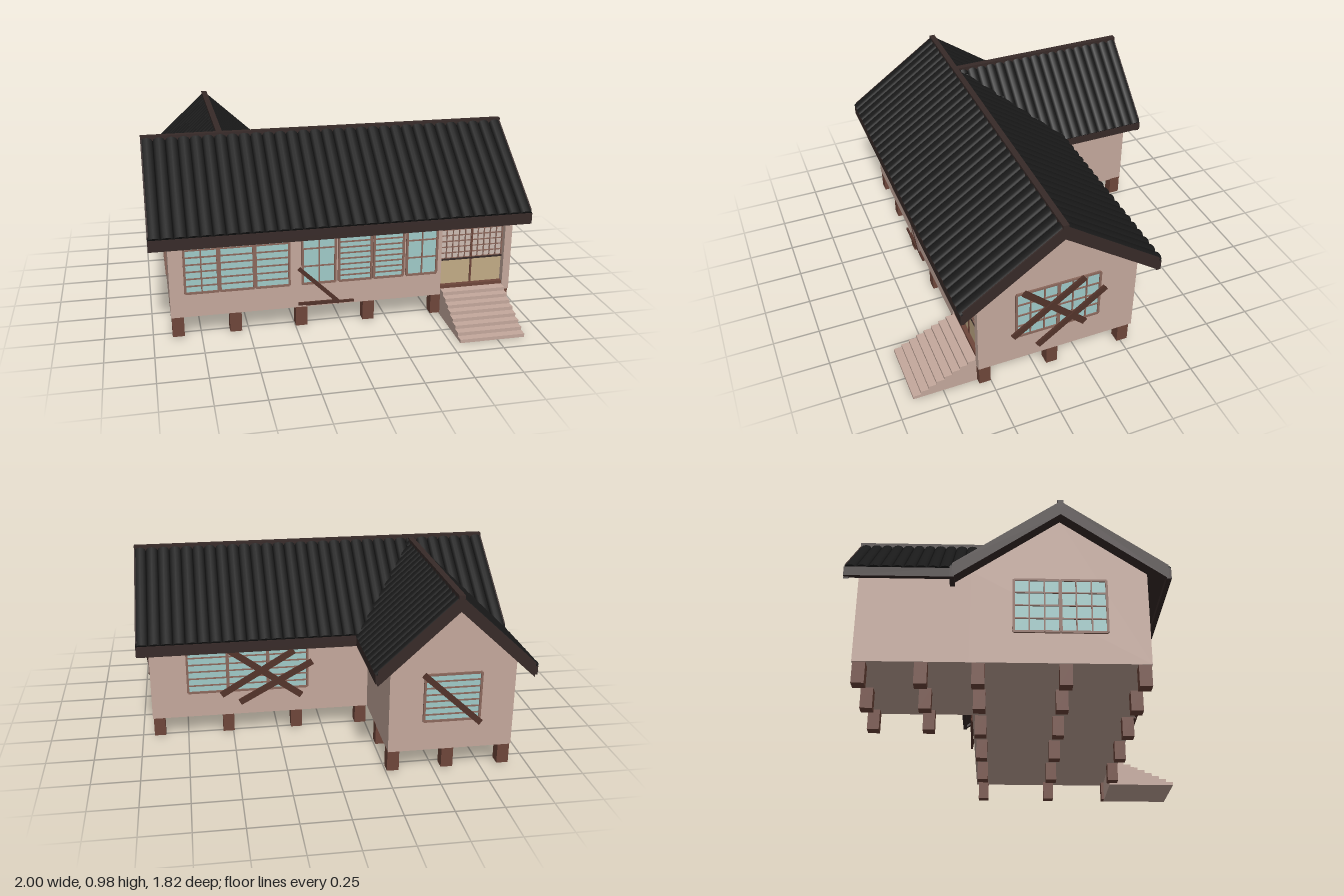
import * as THREE from 'three';

const mat = (color, side = THREE.FrontSide) => new THREE.MeshStandardMaterial({ color, side });
const WALL = mat(0xc4a89c), TILE = mat(0x191919, THREE.DoubleSide), TRIM = mat(0x372a28);
const WOOD = mat(0x6e463a), PLANK = mat(0x53332a), FRAME = mat(0x8b685c);
const GLASS = mat(0x9fcac8), DOOR = mat(0xc2ab86), PAPER = mat(0xcdbcb3);

function add(parent, name, geometry, material) {
  const mesh = new THREE.Mesh(geometry, material);
  mesh.name = name;
  parent.add(mesh);
  return mesh;
}

// Box given by its limits on each axis
function box(parent, name, material, x0, x1, y0, y1, z0, z1) {
  const m = add(parent, name, new THREE.BoxGeometry(x1 - x0, y1 - y0, z1 - z0), material);
  m.position.set((x0 + x1) / 2, (y0 + y1) / 2, (z0 + z1) / 2);
  return m;
}

// Outline in x and y, extruded from z0 to z1
function prism(parent, name, material, points, z0, z1) {
  const shape = new THREE.Shape(points.map(([x, y]) => new THREE.Vector2(x, y)));
  const m = add(parent, name, new THREE.ExtrudeGeometry(shape, { depth: z1 - z0, bevelEnabled: false }), material);
  m.position.z = z0;
  return m;
}

const ribGeometry = new THREE.CylinderGeometry(1, 1, 1, 12);

// Gabled roof with its ridge along local z; "reach" gives the half width at each z
function roof(parent, o) {
  const { cx, apex, slope, left, right, z0, z1, zEnd, fasciaHeight } = o;
  const yAt = d => apex - slope * d;
  const band = (name, material, top, bottom, a, b) => prism(parent, name, material, [
    [cx - left, yAt(left) + bottom], [cx, apex + bottom], [cx + right, yAt(right) + bottom],
    [cx + right, yAt(right) + top], [cx, apex + top], [cx - left, yAt(left) + top]], a, b);
  band('roofSheet', TILE, 0, -0.012, z0 + 0.01, z1 - 0.01);
  band('roofUnderside', TRIM, -0.012, -0.05, z0 + 0.01, z1 - 0.01);
  band('rakeBoard', TRIM, 0.012, -0.066, z0, z0 + 0.025);
  if (o.bothRakes) band('rakeBoard', TRIM, 0.012, -0.066, z1 - 0.025, z1);
  for (const [s, half] of [[-1, left], [1, right]]) {
    const x = cx + s * half, y = yAt(half);
    box(parent, 'eaveFascia', TRIM, x - 0.012, x + 0.012, y - 0.005 - fasciaHeight, y - 0.005, z0, z1);
  }
  box(parent, 'ridgeCap', TRIM, cx - 0.016, cx + 0.016, apex - 0.02, apex + 0.018, z0, zEnd);

  // Rounded tile rows running down both slopes
  const pitch = (zEnd - z0) / o.rows, angle = Math.atan(slope);
  for (let i = 0; i < o.rows; i++) {
    const z = z0 + (i + 0.5) * pitch;
    for (const [s, half] of [[-1, left], [1, right]]) {
      const reach = Math.min(half + 0.008, o.reach ? o.reach(z) : Infinity);
      const rib = add(parent, 'tileRow', ribGeometry, TILE);
      rib.scale.set(pitch * 0.26, reach / Math.cos(angle), pitch * 0.5);
      rib.rotation.z = -s * (Math.PI / 2 + angle);
      rib.position.set(cx + s * reach / 2, yAt(reach / 2), z);
    }
  }
}

// Glazed panel with a frame and a lattice of bars, facing local +z
function panel(parent, x0, x1, y0, y1, cols, rows, fill = GLASS, bar = 0.007, edge = 0.012) {
  const g = new THREE.Group();
  g.name = 'windowPanel';
  parent.add(g);
  box(g, 'pane', fill, x0, x1, y0, y1, -0.01, 0.003);
  for (let i = 0; i <= cols; i++) {
    const w = (i === 0 || i === cols ? edge : bar) / 2, x = x0 + (x1 - x0) * i / cols;
    box(g, 'uprightBar', FRAME, x - w, x + w, y0, y1, -0.005, 0.01);
  }
  for (let j = 0; j <= rows; j++) {
    const w = (j === 0 || j === rows ? edge : bar) / 2, y = y0 + (y1 - y0) * j / rows;
    box(g, 'crossBar', FRAME, x0, x1, y - w, y + w, -0.005, 0.009);
  }
}

// Loose board from one point to another on a wall
function plank(parent, xa, ya, xb, yb, z = 0.014, width = 0.034) {
  const m = add(parent, 'plank', new THREE.BoxGeometry(Math.hypot(xb - xa, yb - ya), width, 0.012), PLANK);
  m.position.set((xa + xb) / 2, (ya + yb) / 2, z);
  m.rotation.z = Math.atan2(yb - ya, xb - xa);
}

function group(parent, name, x = 0, z = 0, turn = 0) {
  const g = new THREE.Group();
  g.name = name;
  g.position.set(x, 0, z);
  g.rotation.y = turn;
  parent.add(g);
  return g;
}

export function createModel() {
  const house = new THREE.Group();
  house.name = 'house';
  const quarter = Math.PI / 2;

  // Main hall: local x is -z, local z is x; the middle slice is set back for the entrance
  const hall = group(house, 'mainHall', 0, 0, quarter);
  const hallTop = x => 0.925 - 0.7 * Math.abs(x + 0.14);
  for (const [front, a, b] of [[-0.57, -0.905, 0.545], [-0.53, 0.545, 0.9], [-0.57, 0.9, 0.94]])
    prism(hall, 'hallWalls', WALL, [[front, 0.12], [0.3, 0.12], [0.3, hallTop(0.3)], [-0.14, 0.925], [front, hallTop(front)]], a, b);
  roof(group(house, 'mainRoof', 0, 0, quarter), {
    cx: -0.14, apex: 0.965, slope: 0.7, left: 0.52, right: 0.53, z0: -1, z1: 1, zEnd: 1,
    rows: 31, fasciaHeight: 0.06, bothRakes: true });

  // Rear wing, whose roof narrows along the valleys into the main roof
  const wing = group(house, 'rearWing');
  prism(wing, 'wingWalls', WALL, [[-0.905, 0.12], [-0.255, 0.12], [-0.255, 0.616], [-0.58, 0.915], [-0.905, 0.616]], -0.85, -0.29);
  const wingRoof = group(house, 'wingRoof');
  roof(wingRoof, {
    cx: -0.58, apex: 0.955, slope: 0.92, left: 0.4, right: 0.4, z0: -0.91, z1: -0.39, zEnd: 0.12,
    rows: 18, fasciaHeight: 0.048, reach: z => 0.4 * (0.126 - z) / 0.526 });
  const valley = new THREE.BufferGeometry();
  valley.setAttribute('position', new THREE.Float32BufferAttribute([
    -0.58, 0.955, -0.4, -0.58, 0.955, 0.126, -0.18, 0.587, -0.4,
    -0.58, 0.955, -0.4, -0.98, 0.587, -0.4, -0.58, 0.955, 0.126], 3));
  valley.computeVertexNormals();
  add(wingRoof, 'valleySheet', valley, TILE);

  // Piers
  const piers = group(house, 'piers');
  const pier = (x, z) => box(piers, 'pier', WOOD, x - 0.031, x + 0.031, 0.01, 0.125, z - 0.031, z + 0.031);
  for (const z of [0.535, 0.16, -0.255])
    for (const x of [-0.87, -0.57, -0.22, 0.145, 0.525, 0.905]) pier(x, z);
  for (const z of [-0.525, -0.815])
    for (const x of [-0.87, -0.57, -0.285]) pier(x, z);

  // Entrance steps
  const steps = 8, profile = [[-0.52, 0], [-0.91, 0]];
  for (let i = 0; i < steps; i++) {
    const y = 0.15 * (i + 1) / steps;
    profile.push([-0.91 + 0.0425 * i, y], [-0.91 + 0.0425 * (i + 1), y]);
  }
  profile.push([-0.52, 0.15]);
  prism(group(house, 'entrance', 0, 0, quarter), 'steps', WALL, profile.reverse(), 0.548, 0.898);

  // Sliding doors: solid lower panels with paper lattice above
  const door = group(house, 'slidingDoors', 0, 0.532);
  box(door, 'threshold', WOOD, 0.545, 0.9, 0.148, 0.168, -0.01, 0.03);
  for (const x of [0.548, 0.724]) {
    box(door, 'doorPanel', DOOR, x, x + 0.173, 0.165, 0.31, -0.01, 0.006);
    panel(door, x, x + 0.173, 0.315, 0.58, 5, 8, PAPER, 0.005, 0.008);
  }
  box(door, 'middlePost', WOOD, 0.718, 0.728, 0.165, 0.58, -0.01, 0.012);
  box(door, 'middleRail', TRIM, 0.545, 0.9, 0.306, 0.316, -0.01, 0.012);

  // Front windows
  const front = group(house, 'frontWindows', 0, 0.57);
  panel(front, -0.825, -0.655, 0.255, 0.57, 2, 8);
  panel(front, -0.645, -0.47, 0.255, 0.57, 1, 8);
  panel(front, -0.46, -0.285, 0.255, 0.57, 1, 8);
  panel(front, -0.215, -0.04, 0.255, 0.55, 2, 3);
  panel(front, -0.02, 0.155, 0.255, 0.57, 1, 10);
  panel(front, 0.17, 0.33, 0.255, 0.57, 1, 10);
  panel(front, 0.35, 0.515, 0.255, 0.55, 2, 3);
  plank(front, -0.235, 0.345, -0.02, 0.135, 0.012, 0.02);
  plank(front, -0.24, 0.147, -0.05, 0.147, 0.018, 0.014);
  plank(front, -0.2, 0.139, 0.06, 0.139, 0.012, 0.012);

  // Gable windows; the right one is boarded up
  const right = group(house, 'rightWindow', 0.94, 0, quarter);
  panel(right, -0.365, -0.14, 0.285, 0.57, 3, 4);
  panel(right, -0.135, 0.09, 0.285, 0.57, 3, 4);
  plank(right, -0.33, 0.58, 0.01, 0.265, 0.015);
  plank(right, -0.39, 0.305, -0.005, 0.58, 0.022);
  plank(right, -0.255, 0.2, 0.115, 0.475, 0.022);
  const left = group(house, 'leftWindow', -0.905, 0, -quarter);
  panel(left, -0.09, 0.135, 0.285, 0.57, 3, 4);
  panel(left, 0.14, 0.365, 0.285, 0.57, 3, 4);

  // Rear windows with boards
  const back = group(house, 'backWindow', 0, -0.3, Math.PI);
  for (let i = 0; i < 3; i++) panel(back, -0.74 + 0.22 * i, -0.525 + 0.22 * i, 0.265, 0.55, 1, 7);
  plank(back, -0.53, 0.52, -0.12, 0.22, 0.015);
  plank(back, -0.56, 0.25, -0.16, 0.49, 0.022);
  plank(back, -0.46, 0.2, -0.06, 0.42, 0.022);
  const wingWindow = group(house, 'wingWindow', 0, -0.85, Math.PI);
  panel(wingWindow, 0.435, 0.725, 0.285, 0.54, 1, 7);
  plank(wingWindow, 0.425, 0.545, 0.73, 0.265, 0.015, 0.03);

  return house;
}
